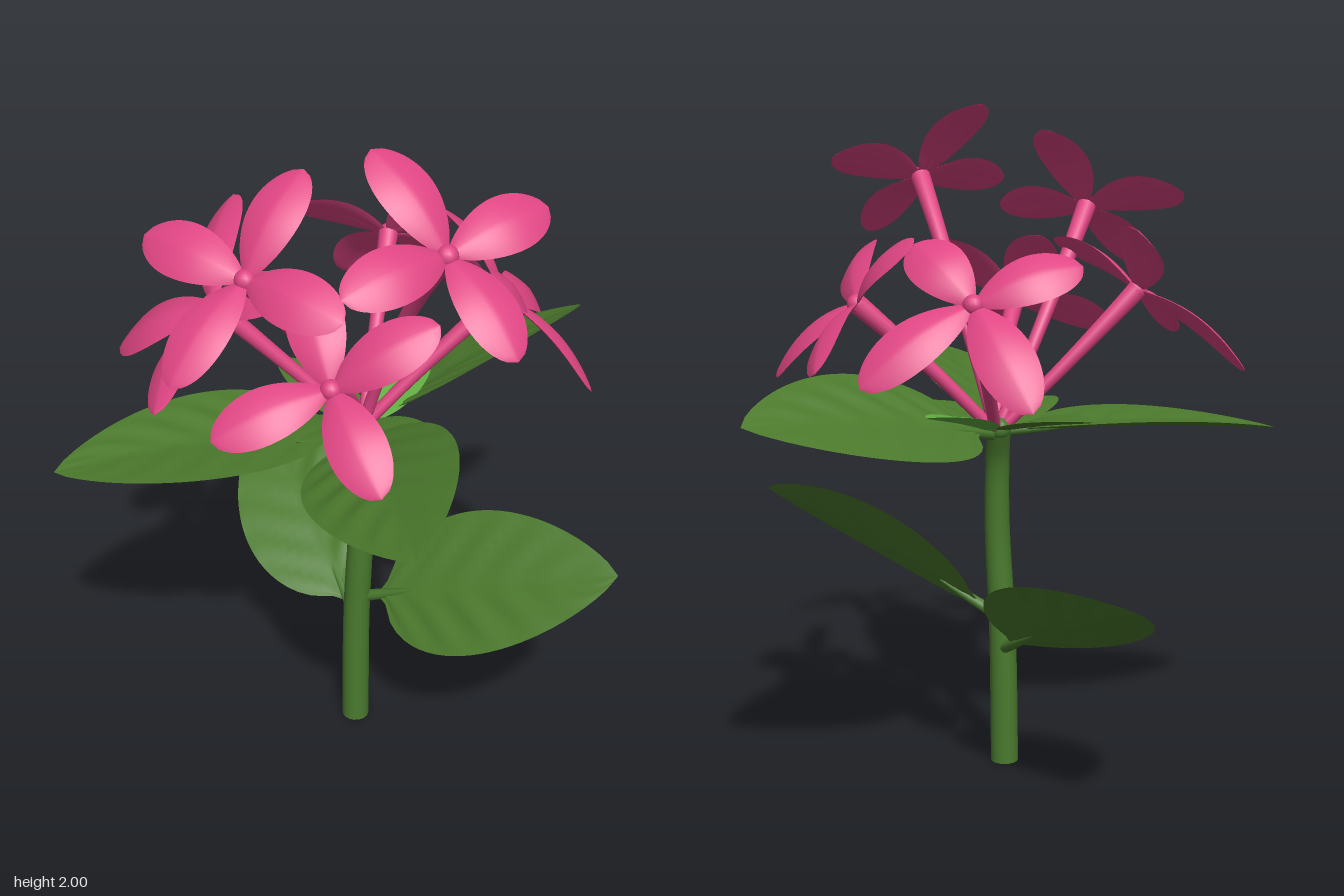
import * as THREE from 'three';

const V = (a) => new THREE.Vector3(...a);
const mat = (name, color, side = THREE.FrontSide) => {
  const m = new THREE.MeshStandardMaterial({ color, side });
  m.name = name;
  return m;
};

// Tapered tube along a curve
function taperedTube(curve, r0, r1, n = 20, sides = 12) {
  const geo = new THREE.TubeGeometry(curve, n, 1, sides);
  const pos = geo.attributes.position, p = new THREE.Vector3();
  for (let i = 0; i <= n; i++) {
    const c = curve.getPointAt(i / n), r = r0 + (r1 - r0) * (i / n) ** 2;
    for (let j = 0; j <= sides; j++) {
      const k = i * (sides + 1) + j;
      p.fromBufferAttribute(pos, k).sub(c).multiplyScalar(r).add(c);
      pos.setXYZ(k, p.x, p.y, p.z);
    }
  }
  return geo;
}

// Closed blade from base to tip: upper and lower sheets that meet at the rim
function blade({ base, tip, normal, width, arch, fold, thick, ripple = 0 }) {
  const rows = 28, cols = 16;
  const axis = tip.clone().sub(base);
  const d = axis.clone().normalize();
  const n = normal.clone().addScaledVector(d, -normal.dot(d)).normalize();
  const side = n.clone().cross(d);
  const pts = [], index = [];
  for (const face of [1, -1]) {
    const start = pts.length / 3;
    for (let i = 0; i <= rows; i++) {
      const t = i / rows, w = width(t);
      for (let j = 0; j <= cols; j++) {
        const s = (j / cols) * 2 - 1, a = Math.abs(s);
        const vein = ripple * Math.sin(Math.PI * 12 * (t - 0.25 * a)) * a * (1 - a) * 4 * Math.sin(Math.PI * t);
        const h = arch * Math.sin(Math.PI * t) + fold * w * a + vein + face * thick * (1 - s * s) * Math.sin(Math.PI * t) ** 0.5;
        const p = base.clone().addScaledVector(axis, t).addScaledVector(side, w * s).addScaledVector(n, h);
        pts.push(p.x, p.y, p.z);
        if (i < rows && j < cols) {
          const k = start + i * (cols + 1) + j, m = k + cols + 1;
          if (face > 0) index.push(k, m, k + 1, m, m + 1, k + 1);
          else index.push(k, k + 1, m, m, k + 1, m + 1);
        }
      }
    }
  }
  const geo = new THREE.BufferGeometry();
  geo.setAttribute('position', new THREE.Float32BufferAttribute(pts, 3));
  geo.setIndex(index);
  geo.computeVertexNormals();
  return geo;
}

// Half-width outlines
const leafWidth = (max, stalk) => (t) => {
  const u = Math.max(0, (t - stalk) / (1 - stalk));
  return Math.max(t < 0.5 ? 0.008 : 0, max * 2.5 * u ** 0.55 * (1 - u) ** 0.8);
};
const petalWidth = (t) => Math.max(t < 0.5 ? 0.014 : 0, 0.08 * 2.6 * t ** 0.8 * (1 - t) ** 0.6);

export function createModel() {
  const root = new THREE.Group();
  root.name = 'floweringPlant';
  const green = mat('leafGreen', 0x4c7a2d, THREE.DoubleSide);
  const stemGreen = mat('stemGreen', 0x4a7a2e);
  const lime = mat('youngLeafGreen', 0x62ae42, THREE.DoubleSide);
  const pink = mat('petalPink', 0xdf4583, THREE.DoubleSide);
  const add = (parent, name, geo, material) => {
    const m = new THREE.Mesh(geo, material);
    m.name = name;
    parent.add(m);
    return m;
  };

  // Main stem with end caps
  const stemCurve = new THREE.CatmullRomCurve3([
    [-0.065, 0, 0.127], [-0.06, 0.4, 0.12], [-0.045, 0.75, 0.11], [-0.055, 0.95, 0.09], [-0.08, 1.06, 0.05],
  ].map(V));
  add(root, 'stem', taperedTube(stemCurve, 0.042, 0.034, 32, 16), stemGreen);
  add(root, 'stemFoot', new THREE.CircleGeometry(0.042, 16).rotateX(Math.PI / 2).translate(-0.065, 0.001, 0.127), stemGreen);
  add(root, 'stemTop', new THREE.SphereGeometry(0.034, 16, 10).translate(-0.08, 1.055, 0.05), stemGreen);

  // Large leaves: base, tip, facing direction
  const leaves = [
    ['backLeaf', [-0.07, 1.04, 0.04], [0.275, 1.155, -0.755], [-0.55, 1, 0]],
    ['frontLeftLeaf', [-0.07, 1.04, 0.06], [0.465, 1.195, 0.745], [-0.42, 1, 0.02]],
    ['frontRightLeaf', [-0.08, 1.05, 0.06], [-0.74, 1.02, 0.64], [0, 1, 0.05]],
    ['lowerRightLeaf', [-0.075, 0.37, 0.1], [-0.69, 0.69, -0.39], [0, 0.82, 0.57]],
    ['lowerLeftLeaf', [-0.04, 0.47, 0.11], [0.75, 0.795, 0.06], [-0.27, 0.73, 0.68]],
  ];
  for (const [name, b, t, n] of leaves) {
    const g = new THREE.Group();
    g.name = name;
    const base = V(b), tip = V(t), normal = V(n).normalize();
    add(g, 'leafBlade', blade({ base, tip, normal, width: leafWidth(0.22, 0.1), arch: 0.02, fold: 0.13, thick: 0.006, ripple: 0.006 }), green);
    const end = base.clone().lerp(tip, 0.24).addScaledVector(normal, 0.012);
    add(g, 'leafStalk', taperedTube(new THREE.LineCurve3(base, end), 0.018, 0.006, 6, 10), stemGreen);
    root.add(g);
  }

  // Small leaves under the flower cluster
  const smallLeaves = [
    ['youngLeaf', [-0.07, 1.05, 0.03], [-0.01, 1.13, -0.27], [0, 1, 0.1], 0.078, lime],
    ['smallRightLeaf', [-0.08, 1.05, 0.05], [-0.43, 1.12, -0.07], [0.1, 1, 0], 0.085, green],
    ['smallLeftLeaf', [-0.07, 1.05, 0.05], [0.26, 1.1, 0.165], [-0.1, 1, 0], 0.085, green],
    ['smallFrontLeaf', [-0.08, 1.05, 0.06], [-0.14, 1.12, 0.32], [0, 1, -0.1], 0.085, green],
  ];
  for (const [name, b, t, n, w, m] of smallLeaves) {
    add(root, name, blade({ base: V(b), tip: V(t), normal: V(n), width: leafWidth(w, 0.02), arch: 0.01, fold: 0.15, thick: 0.008 }), m);
  }

  // Flowers: centre, stalk bend, four petal tips in order around the centre
  const flowers = [
    [[-0.205, 1.46, -0.365], [-0.12, 1.22, -0.11],
      [[-0.45, 1.21, -0.515], [0.016, 1.25, -0.585], [0.02, 1.61, -0.29], [-0.45, 1.56, -0.205]]],
    [[0.245, 1.43, -0.21], [0.07, 1.24, -0.07],
      [[0.195, 1.27, -0.52], [0.54, 1.205, -0.19], [0.36, 1.58, 0.05], [0.015, 1.615, -0.29]]],
    [[-0.42, 1.46, 0.265], [-0.25, 1.24, 0.14],
      [[-0.53, 1.65, -0.03], [-0.75, 1.24, 0.28], [-0.375, 1.31, 0.63], [-0.12, 1.59, 0.34]]],
    [[-0.165, 1.69, 0.48], [-0.17, 1.38, 0.18],
      [[-0.115, 1.92, 0.26], [0.155, 1.675, 0.54], [-0.225, 1.5, 0.755], [-0.49, 1.735, 0.455]]],
    [[0.305, 1.78, 0.28], [0.03, 1.42, 0.03],
      [[0.06, 1.995, 0.225], [0.46, 1.84, 0.015], [0.556, 1.6, 0.39], [0.17, 1.76, 0.58]]],
    [[0.05, 1.4, 0.43], [-0.01, 1.24, 0.19],
      [[-0.11, 1.61, 0.27], [0.29, 1.58, 0.28], [0.29, 1.235, 0.6], [-0.18, 1.3, 0.66]]],
  ];
  flowers.forEach(([c, bend, tips], i) => {
    const g = new THREE.Group();
    g.name = `flower${i + 1}`;
    const centre = V(c), t = tips.map(V), foot = V([-0.07, 1.04, 0.05]);
    const curve = new THREE.QuadraticBezierCurve3(foot, V(bend), centre);
    add(g, 'flowerStalk', taperedTube(curve, 0.018, 0.03), pink);
    const normal = t[0].clone().sub(t[2]).cross(t[1].clone().sub(t[3])).normalize();
    if (normal.dot(centre.clone().sub(foot)) < 0) normal.negate();
    add(g, 'flowerHeart', new THREE.SphereGeometry(0.03, 14, 10).translate(c[0], c[1], c[2]), pink);
    for (const tip of t) {
      add(g, 'petal', blade({ base: centre, tip, normal, width: petalWidth, arch: 0.03, fold: -0.1, thick: 0.012 }), pink);
    }
    root.add(g);
  });

  return root;
}
